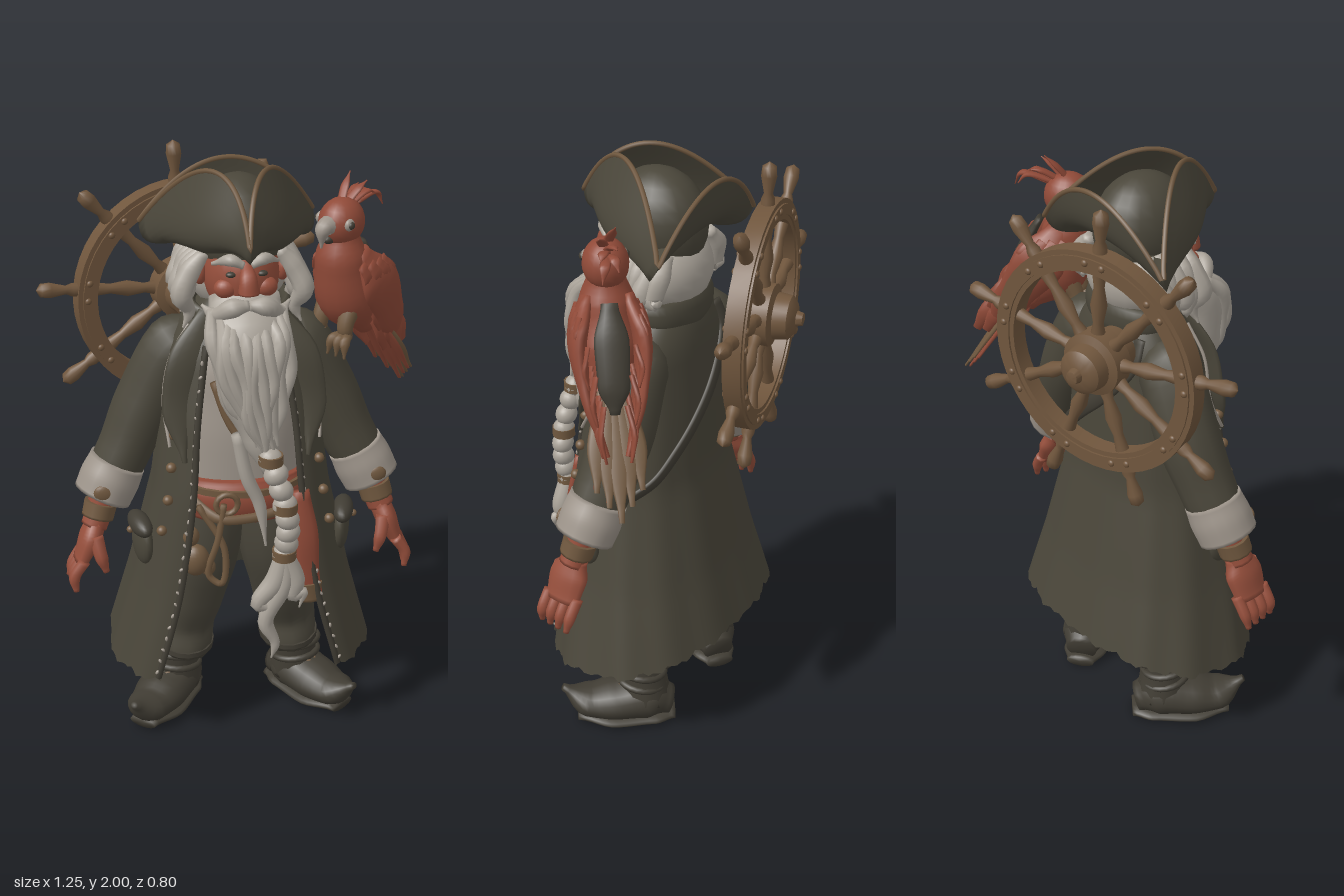
import * as THREE from 'three';
import { mergeVertices, toCreasedNormals } from 'three/addons/utils/BufferGeometryUtils.js';

const paint = (name, color, side = THREE.FrontSide) => {
  const m = new THREE.MeshStandardMaterial({ color, side });
  m.name = name;
  return m;
};
const V = (p) => new THREE.Vector3(...p);
const mirror = (pts, s) => pts.map(([x, y, z]) => [x * s, y, z]);
const lerp = THREE.MathUtils.lerp;

// Smooth surface from a rule fn(u, v) -> [x, y, z]
function grid(fn, nu, nv) {
  const pos = [], idx = [], w = nv + 1;
  for (let i = 0; i <= nu; i++) for (let j = 0; j <= nv; j++) pos.push(...fn(i / nu, j / nv, i));
  for (let i = 0; i < nu; i++) for (let j = 0; j < nv; j++) {
    const a = i * w + j;
    idx.push(a, a + 1, a + w + 1, a, a + w + 1, a + w);
  }
  let g = new THREE.BufferGeometry();
  g.setAttribute('position', new THREE.Float32BufferAttribute(pos, 3));
  g.setIndex(idx);
  g = mergeVertices(g, 1e-5);
  g.computeVertexNormals();
  return g;
}

// Closed sweep along a curve; each radius is r or [along ref, across]
function sweepGeo(pts, radii, ref = [0, 0, 1], sides = 12, steps = pts.length * 4) {
  const curve = new THREE.CatmullRomCurve3(pts.map(V)), r0 = V(ref);
  const rad = radii.map((r) => (Array.isArray(r) ? r : [r, r]));
  return grid((u, v, i) => {
    const t = THREE.MathUtils.clamp((i - 1) / steps, 0, 1);
    const P = curve.getPoint(t), T = curve.getTangent(t);
    const U = r0.clone().addScaledVector(T, -r0.dot(T)).normalize(), W = T.clone().cross(U);
    const f = t * (rad.length - 1), k = Math.min(Math.floor(f), rad.length - 2);
    const end = i === 0 || i === steps + 2 ? 0 : 1, a = (v % 1) * Math.PI * 2;
    const s = THREE.MathUtils.smoothstep(f - k, 0, 1);
    P.addScaledVector(U, Math.cos(a) * end * lerp(rad[k][0], rad[k + 1][0], s));
    P.addScaledVector(W, Math.sin(a) * end * lerp(rad[k][1], rad[k + 1][1], s));
    return P.toArray();
  }, steps + 2, sides);
}

export function createModel() {
  const cloth = paint('coat cloth', 0x4a463a, THREE.DoubleSide);
  const dark = paint('dark leather', 0x413d34);
  const trouser = paint('trouser cloth', 0x49453a);
  const skin = paint('ruddy skin', 0x964f3c);
  const red = paint('red feather and sash', 0x904a38);
  const hair = paint('grey hair', 0xaaa399);
  const linen = paint('linen', 0x9d948a);
  const wood = paint('wood', 0x70563d);
  const tan = paint('tan leather', 0x70583f);
  const model = new THREE.Group();
  let into = model;
  const add = (name, geo, mat, p = [0, 0, 0], scale = [1, 1, 1], rot = [0, 0, 0]) => {
    const m = new THREE.Mesh(geo, mat);
    m.name = name;
    m.position.set(...p); m.scale.set(...scale); m.rotation.set(...rot);
    into.add(m);
    return m;
  };
  const sweep = (name, mat, pts, radii, ref, sides, steps) => add(name, sweepGeo(pts, radii, ref, sides, steps), mat);
  const ballGeo = new THREE.SphereGeometry(1, 20, 14);
  const ball = (name, mat, p, s, rot) => add(name, ballGeo, mat, p, Array.isArray(s) ? s : [s, s, s], rot);
  const group = (name, fn) => {
    const g = new THREE.Group(), old = into;
    g.name = name; old.add(g); into = g; fn(g); into = old;
  };
  const X = [1, 0, 0];

  // Coat: open-fronted rings [height, half width, half depth, centre z, front edge x]
  const rows = [[1.58, .1, .09, .005, .06], [1.51, .165, .125, 0, .1], [1.43, .225, .155, .01, .12], [1.2, .255, .19, .03, .15],
    [.95, .29, .215, .045, .17], [.6, .37, .265, .02, .22], [.34, .44, .31, -.002, .285]];
  const coatPoint = (y, v, k = 1) => {
    let i = 0;
    while (i < rows.length - 2 && y < rows[i + 1][0]) i++;
    const t = (y - rows[i][0]) / (rows[i + 1][0] - rows[i][0]);
    const [, a, b, cz, e] = rows[i].map((n, j) => lerp(n, rows[i + 1][j], t));
    const gap = Math.asin(Math.pow(e / a, 1 / .9)), q = gap + v * (Math.PI * 2 - 2 * gap);
    const pw = (n, p) => Math.sign(n) * Math.pow(Math.abs(n), p);
    return [k * a * pw(Math.sin(q), .9), y, cz + k * b * pw(Math.cos(q), .8)];
  };
  const hemY = (v) => .335 - .05 * Math.cos(v * Math.PI * 2) + .006 * Math.sin(v * 211) + .006 * Math.sin(v * 97);
  add('coat', grid((u, v) => coatPoint(lerp(1.58, hemY(v), u), v, 1 + .012 * u * Math.sin(v * 60)), 30, 96), cloth);
  sweep('backStrap', dark, [[1.49, .66], [1.42, .62], [1.34, .57], [1.25, .51], [1.16, .45], [1.08, .39], [1, .33], [.94, .26]].map(([y, v]) => coatPoint(y, v, 1.03)),
    [[.01, .026], [.01, .026]], [0, 0, 1], 8, 40);
  sweep('collar', cloth, [.02, .15, .3, .5, .7, .85, .98].map((v) => coatPoint(1.53, v, 1.04)), [[.02, .014], [.045, .02], [.055, .02], [.045, .02], [.02, .014]], [0, 1, 0], 10, 40);
  for (const s of [1, -1]) {
    const side = (v) => (s > 0 ? v : 1 - v);
    sweep('coatEdge', dark, [1.45, 1.2, .95, .6, .3].map((y) => coatPoint(y, side(.004), 1.01)), [.011, .011], X, 8);
    for (let i = 0; i < 26; i++) ball('frayedThread', linen, coatPoint(1.4 - i * .043, side(.006), 1.035), [.005, .009, .005], [0, 0, Math.sin(i * 5)]);
    sweep('lapel', cloth, [[1.54, .04], [1.4, .06], [1.25, .07], [1.08, .03]].map(([y, v]) => coatPoint(y, side(v), 1.04)),
      [[.03, .012], [.055, .014], [.05, .014], [.008, .008]], X);
    sweep('lapelPiping', linen, [[1.5, .1], [1.4, .125], [1.25, .135], [1.12, .08]].map(([y, v]) => coatPoint(y, side(v), 1.06)), [.005, .005], X, 6);
    for (let i = 0; i < 5; i++) ball('button', tan, coatPoint(1.27 - i * .11, side(.075), 1.03), .017);
    // Pocket laid flat on the coat, facing out
    group('pocket', (g) => {
      const p = V(coatPoint(.77, side(.15), 1.02)), a = V(coatPoint(.77, .14)), b = V(coatPoint(.77, .16));
      g.position.copy(p);
      g.rotation.y = s * Math.atan2(a.z - b.z, b.x - a.x);
      ball('pocketBag', cloth, [0, -.02, 0], [.07, .085, .03]);
      ball('pocketFlap', dark, [0, .045, .008], [.078, .035, .035]);
      ball('pocketButton', tan, [0, .03, .042], .012);
    });
    // Arm, cuff and hand
    sweep('sleeve', cloth, mirror([[.11, 1.455, -.02], [.2, 1.385, -.03], [.295, 1.2, -.035], [.375, 1.03, -.015], [.43, .93, 0]], s),
      [.05, .1, .103, .092, .085]);
    sweep('cuff', linen, mirror([[.395, .995, -.01], [.425, .935, 0], [.452, .88, .01]], s), [.094, .1, .097], undefined, 18);
    ball('cuffPatch', tan, [s * .45, .925, .09], [.035, .03, .014], [0, 0, s * .4]);
    sweep('wrist', skin, mirror([[.44, .91, .01], [.465, .83, .025], [.485, .78, .035]], s), [.05, .045, .045]);
    sweep('bracelet', tan, mirror([[.458, .86, .02], [.472, .81, .03]], s), [.056, .054]);
    sweep('palm', skin, mirror([[.475, .8, .03], [.5, .74, .04], [.535, .66, .045]], s), [[.045, .035], [.07, .037], [.062, .026]]);
    for (let i = 0; i < 4; i++) {
      const z = .045 + (i - 1.5) * .036;
      sweep('finger', skin, mirror([[.525, .68, z], [.56, .625, z + .005], [.575 - i * .006, .575, z + .012]], s), [.02, .019, .01], undefined, 8);
    }
    sweep('thumb', skin, mirror([[.485, .76, .08], [.47, .7, .11], [.455, .645, .115]], s), [.026, .022, .011], undefined, 8);
    // Leg and boot with a curled toe
    sweep('trouserLeg', trouser, mirror([[.09, .92, .03], [.115, .7, .05], [.145, .5, .02], [.175, .36, -.025], [.185, .25, -.033]], s), [.12, .12, .102, .1, [.125, .1]]);
    sweep('trouserHem', dark, mirror([[.184, .27, -.033], [.185, .25, -.033]], s), [[.128, .103], [.128, .103]], undefined, 18);
    group('boot', (g) => {
      g.position.set(s * .22, 0, -.045);
      g.rotation.y = s * .64;
      sweep('bootShaft', dark, [[-s * .02, .32, 0], [-s * .01, .2, -.005], [0, .08, -.01]], [.074, .08, .09]);
      for (const y of [.16, .21]) add('bootStrap', new THREE.TorusGeometry(.08, .012, 8, 24), dark, [-s * .008, y, 0], [1, 1, 1], [1.4, 0, 0]);
      sweep('bootFoot', dark, [[0, .065, -.1], [0, .09, -.02], [0, .08, .09], [0, .078, .19], [0, .135, .275]],
        [[.055, .05], [.09, .082], [.092, .07], [.075, .052], [.014, .012]], X, 16);
      sweep('sole', dark, [[0, .02, -.115], [0, .02, -.04], [0, .02, .1], [0, .028, .225]],
        [[.05, .02], [.08, .02], [.092, .02], [.05, .018]], X, 16);
      add('bootBuckle', new THREE.TorusGeometry(.022, .006, 6, 12), tan, [0, .153, .06], [1, 1, 1], [-1.2, 0, 0]);
    });
  }

  // Shirt, sash and belt goods
  sweep('shirt', linen, [[0, 1.52, .03], [0, 1.3, .05], [0, 1.1, .06], [0, .88, .06]], [[.1, .08], [.18, .11], [.19, .125], [.2, .13]], X, 24);
  sweep('sash', red, [[0, .985, .06], [0, .93, .065], [0, .86, .06]], [[.205, .15], [.225, .17], [.21, .155]], X, 28);
  sweep('belt', tan, [[0, .975, .06], [0, .945, .06]], [[.222, .172], [.222, .172]], X, 28);
  sweep('slungBelt', tan, [[-.2, .95, .16], [-.1, .89, .24], [0, .885, .245], [.1, .9, .235]], [[.012, .018], [.012, .018]], [0, 0, 1], 8);
  sweep('sashTail', red, [[.17, .96, .22], [.19, .8, .24], [.2, .66, .24], [.21, .56, .24]], [[.03, .02], [.04, .018], [.036, .014], [.04, .01]], X);
  sweep('tailFringe', tan, [[.205, .62, .24], [.21, .55, .24]], [[.042, .018], [.033, .014]], X);
  add('beltBuckle', new THREE.TorusGeometry(.035, .01, 8, 16), tan, [-.07, .94, .24]);
  for (const [x, y, r] of [[-.17, .73, .045], [-.185, .82, .028], [-.13, .7, .025]]) ball('pouch', tan, [x, y, .22], [r, r * 1.25, r * .8]);
  sweep('rope', tan, [[-.08, .94, .24], [-.1, .82, .25], [-.13, .68, .24], [-.09, .65, .25], [-.08, .78, .25], [-.16, .93, .22]], [.011, .011], X, 8, 36);
  sweep('chestStrap', tan, [[-.1, 1.34, .17], [-.05, 1.2, .2], [.02, 1.12, .22], [.09, 1.16, .2]], [.014, .014], X, 8);

  // Head and face
  group('head', () => {
    ball('face', skin, [0, 1.67, .07], [.118, .15, .13]);
    ball('backHair', hair, [0, 1.64, -.02], [.16, .13, .125]);
    sweep('nose', skin, [[0, 1.73, .18], [0, 1.69, .22], [0, 1.65, .225]], [.018, .028, .032], X);
    ball('lip', red, [0, 1.588, .215], [.035, .014, .035]);
    for (const s of [1, -1]) {
      ball('cheek', skin, [s * .06, 1.65, .165], [.038, .032, .03]);
      ball('ear', skin, [s * .128, 1.67, .07], [.022, .04, .03]);
      ball('eye', dark, [s * .048, 1.7, .185], [.016, .009, .012]);
      sweep('eyebrow', hair, mirror([[.012, 1.732, .2], [.05, 1.75, .195], [.1, 1.725, .15]], s), [.012, .019, .006]);
      sweep('moustache', hair, mirror([[0, 1.618, .235], [.05, 1.612, .235], [.1, 1.58, .2], [.135, 1.6, .165]], s), [.016, .03, .022, .005]);
      for (let i = 0; i < 6; i++) {
        const z = .09 - i * .035, o = i % 2 * .015, lift = i * .012;
        sweep('sideLock', hair, mirror([[.115, 1.74, z], [.16, 1.68, z], [.19 - o, 1.61, z + .015], [.165 + o, 1.55 + lift, z], [.185 - o, 1.5 + o + lift, z + .01]], s), [.02, .034, .034, .02, .004], undefined, 8);
      }
    }
  });

  // Beard with wavy locks, then a banded braid
  group('beard', () => {
    sweep('beardMass', hair, [[0, 1.61, .13], [0, 1.5, .225], [.005, 1.35, .25], [.03, 1.2, .275], [.06, 1.08, .3]],
      [[.11, .06], [.125, .085], [.105, .08], [.06, .058], [.025, .025]], X, 20);
    for (let i = -5; i <= 5; i++) {
      const k = i / 5.5, d = Math.sqrt(1 - k * k), lift = .1 * Math.abs(k);
      const row = [[1.59, .11, .18, .025, 0], [1.5, .13, .23, .075, 0], [1.38, .115, .255, .074, .008], [1.25, .08, .27, .058, .02], [1.13, .04, .29, .04, .045]];
      sweep('beardLock', hair, row.map(([y, w, z, b, x], n) => [x + k * w + .013 * Math.sin(n * 2.4 + i * 1.7), y + lift * n / 4, z + b * d]),
        [.015, .024, .02, .019, .005], undefined, 8);
    }
    const braid = new THREE.CatmullRomCurve3([[.055, 1.14, .325], [.09, 1.02, .345], [.11, .9, .345], [.1, .8, .335]].map(V));
    for (let i = 0; i <= 7; i++) ball('braidKnot', hair, braid.getPoint(i / 7).toArray(), [.04, .036, .036], [0, 0, i % 2 ? .5 : -.5]);
    for (const t of [0, .45, 1]) add('braidBand', new THREE.CylinderGeometry(.039, .039, .032, 14), tan, braid.getPoint(t).toArray());
    for (const [dx, tip, x] of [[0, .41, .06], [-.03, .55, .035], [.035, .6, .15]])
      sweep('braidTail', hair, [[.1, .8, .335], [.1 + dx, .7, .34], [x - .02, lerp(.7, tip, .5), .345], [x + .012, tip + .06, .35], [x, tip, .35]], [.03, .034, .026, .016, .003]);
    sweep('sideBraid', hair, [[-.04, 1.2, .26], [-.01, 1.05, .27], [.03, .95, .27], [.05, .8, .28]], [.02, .022, .02, .004]);
  });

  // Three-cornered hat: brim folded up between the corners, with a narrow front spout
  group('hat', () => {
    const corner = [[-.01, 1.82, .315], [.265, 1.775, -.15], [-.295, 1.765, -.14]], mid = [[.075, 1.992, .09], [-.01, 1.95, -.175], [-.09, 1.992, .09]];
    const edge = (u) => {
      const k = Math.min(Math.floor(u * 3), 2), t = u * 3 - k, A = corner[k], B = corner[(k + 1) % 3], M = mid[k];
      return A.map((a, i) => (1 - t) ** 2 * a + 2 * t * (1 - t) * (2 * M[i] - (a + B[i]) / 2) + t * t * B[i]);
    };
    add('brim', grid((u, v) => {
      const e = edge(u % 1), q = u * Math.PI * 2, bulge = Math.sin(v * Math.PI), sx = Math.sin(q);
      const p = [sx * .135, 1.775 - .035 * sx ** 2, .05 + Math.cos(q) * .145];
      return [lerp(p[0], e[0], v) + sx * .06 * bulge, lerp(p[1], e[1], v) - (.03 + .025 * sx ** 2) * bulge, lerp(p[2], e[2], v) + Math.cos(q) * .03 * bulge];
    }, 72, 10), cloth);
    const rim = [];
    for (let i = 0; i < 72; i++) rim.push(V(edge(i / 72)));
    add('brimTrim', new THREE.TubeGeometry(new THREE.CatmullRomCurve3(rim, true), 144, .008, 6, true), tan);
    ball('crown', cloth, [0, 1.79, .025], [.135, .17, .165]);
  });

  // Ship's wheel carried on the back
  group('shipWheel', (g) => {
    g.position.set(-.148, 1.485, -.27);
    g.rotation.y = .27;
    const ring = (a, b, h) => toCreasedNormals(new THREE.LatheGeometry([[a, -h], [b, -h], [b, h], [a, h], [a, -h]].map((p) => new THREE.Vector2(...p)), 48).rotateX(Math.PI / 2), .6);
    add('rim', ring(.3, .366, .028), wood);
    add('rimBand', ring(.316, .35, .034), wood);
    const spoke = new THREE.LatheGeometry([[.02, .03], [.022, .1], [.016, .13], [.026, .19], [.016, .25], [.022, .3], [.022, .38], [.014, .4], [.025, .455], [.022, .485], [0, .5]].map((p) => new THREE.Vector2(...p)), 12);
    for (let i = 0; i < 9; i++) {
      const a = i * Math.PI * 2 / 9 + .04;
      add('spoke', spoke, wood, [0, 0, 0], [1, 1, 1], [0, 0, a]);
      for (const d of [-.09, .09]) for (const z of [-.034, .034]) ball('peg', wood, [-Math.sin(a + d) * .334, Math.cos(a + d) * .334, z], [.011, .011, .008]);
    }
    const hub = [[0, -.135], [.02, -.13], [.025, -.11], [.05, -.105], [.07, -.09], [.075, -.045], [.1, -.035], [.1, .035], [.075, .045], [.07, .1], [0, .105]];
    add('hub', toCreasedNormals(new THREE.LatheGeometry(hub.map((p) => new THREE.Vector2(...p)), 28).rotateX(Math.PI / 2), .6), wood);
  });

  // Parrot on the left shoulder, built facing +z and then turned
  group('parrot', (g) => {
    g.position.set(.365, 1.555, -.04);
    g.rotation.y = -.86;
    sweep('parrotBody', red, [[0, .2, .05], [0, .1, .045], [0, -.03, .01], [0, -.17, -.1]], [.055, .085, .1, .035], X, 16);
    ball('parrotHead', red, [0, .225, .05], [.07, .078, .08]);
    sweep('beak', linen, [[0, .23, .1], [0, .225, .14], [0, .165, .15]], [.036, .027, .004], X);
    ball('lowerBeak', dark, [0, .185, .11], [.018, .016, .025]);
    for (let i = 0; i < 6; i++) sweep('crestFeather', red, [[0, .27, .06 - i * .015], [(i % 2 - .5) * .03, .325 - i * .008, .02 - i * .025], [(i % 2 - .5) * .05, .365 - i * .025, -.02 - i * .022]], [[.016, .008], [.016, .007], [.002, .002]], X, 8);
    sweep('backPatch', dark, [[0, .14, -.045], [0, .04, -.1], [0, -.08, -.15], [0, -.16, -.17]], [[.025, .012], [.052, .02], [.048, .02], [.015, .01]], X);
    for (const s of [1, -1]) {
      ball('parrotEye', dark, [s * .066, .235, .085], [.009, .012, .012]);
      ball('eyePatch', linen, [s * .056, .235, .083], [.013, .02, .02]);
      sweep('wing', red, mirror([[.06, .13, .03], [.095, .03, -.03], [.078, -.12, -.13], [.03, -.27, -.23]], s), [[.04, .02], [.085, .03], [.06, .02], [.01, .008]]);
      for (let r = 0; r < 4; r++) for (let n = 0; n < 4; n++) {
        const y = .1 - r * .075, z = .055 - n * .034 - r * .045, x = .11 - r * .018 - Math.abs(n - 1.5) * .008, l = .09 + r * .018;
        sweep('wingFeather', red, mirror([[x - .01, y, z], [x + .005, y - l * .5, z - l * .3], [x - .008, y - l, z - l * .6]], s), [[.02, .008], [.03, .009], [.014, .004]], undefined, 8, 7);
      }
      sweep('parrotLeg', tan, mirror([[.045, -.05, .05], [.05, -.11, .08], [.05, -.15, .07]], s), [.034, .026, .02]);
      for (const d of [-1, 0, 1]) sweep('claw', tan, mirror([[.05, -.14, .065], [.05 + d * .024, -.145, .11], [.05 + d * .034, -.195, .125]], s), [.017, .018, .004], X, 8);
    }
    for (let i = -2; i <= 2; i++) {
      const l = 1 - Math.abs(i) * .12;
      for (const [name, mat, off, w] of [['tailFeather', red, 0, .026], ['upperTailFeather', tan, -.016, .032]])
        sweep(name, mat, [[i * .014, -.12, -.09 + off], [i * .028, -.12 - .17 * l, -.09 - .12 * l + off], [i * .034, -.12 - .32 * l, -.09 - .22 * l + off]], [[.02, .008], [w, .008], [.008, .004]], X, 8);
    }
  });
  return model;
}
